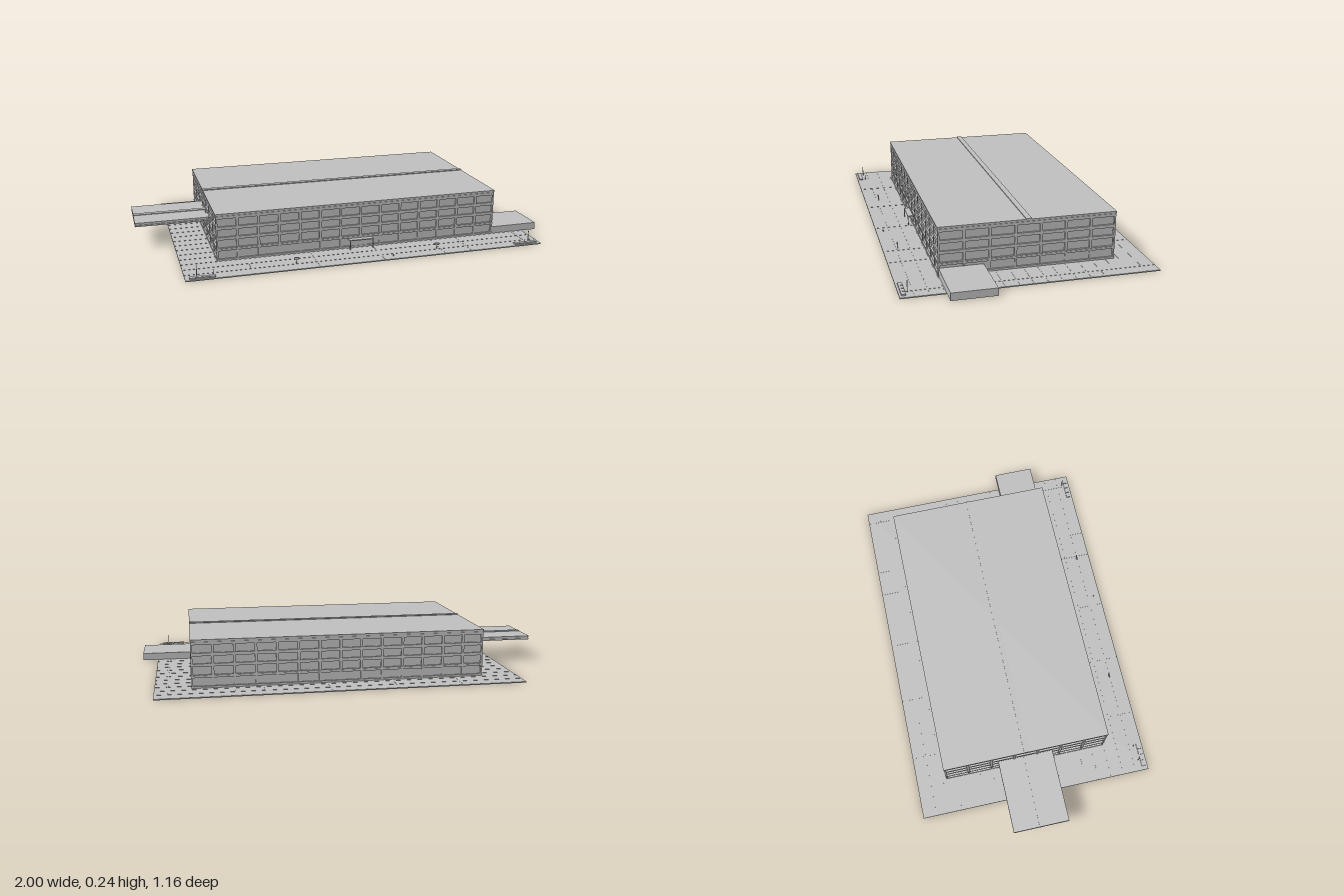
import * as THREE from 'three';

export function createModel() {
  const model = new THREE.Group();
  model.name = 'officeBuilding';
  const concrete = new THREE.MeshStandardMaterial({ color: 0xc0c0c0 });
  concrete.name = 'light grey concrete';

  // Box given by its extents on each axis
  function box(name, x0, x1, y0, y1, z0, z1, parent = model) {
    const mesh = new THREE.Mesh(new THREE.BoxGeometry(x1 - x0, y1 - y0, z1 - z0), concrete);
    mesh.position.set((x0 + x1) / 2, (y0 + y1) / 2, (z0 + z1) / 2);
    mesh.name = name;
    parent.add(mesh);
    return mesh;
  }
  function post(name, x, z, height, radius) {
    const mesh = new THREE.Mesh(new THREE.CylinderGeometry(radius, radius, height, 8), concrete);
    mesh.position.set(x, height / 2, z);
    mesh.name = name;
    model.add(mesh);
  }

  const L = -0.65, R = 0.755, B = -0.435, F = 0.385;
  const depth = 0.008;

  // Paved plaza with raised joint strips
  box('plaza', -0.82, 0.925, 0, 0.005, -0.585, 0.58);
  const joints = new THREE.Group();
  joints.name = 'pavingJoints';
  model.add(joints);
  for (let i = 1; i < 18; i++) {
    const z = -0.585 + i * 0.0647;
    box('crossJoint', -0.82, 0.925, 0.004, 0.006, z - 0.002, z + 0.002, joints);
  }
  for (const x of [-0.51, -0.2, 0.115, 0.42, 0.555, 0.865]) {
    box('longJoint', x - 0.003, x + 0.003, 0.004, 0.006, -0.585, 0.58, joints);
  }

  // Building core, whose faces are the recessed panes
  box('glazedCore', L + depth, R - depth, 0.005, 0.224, B + depth, F - depth);

  // Facade grid: horizontal bands, piers and thin window frames, facing local +z
  function facade(name, width, bays, x, z, angle) {
    const wall = new THREE.Group();
    wall.name = name;
    wall.position.set(x, 0, z);
    wall.rotation.y = angle;
    model.add(wall);
    const h = width / 2;
    const bands = [[0.005, 0.014], [0.054, 0.068], [0.107, 0.121], [0.157, 0.172], [0.21, 0.224]];
    for (const [y0, y1] of bands) box('floorBand', -h, h, y0, y1, -depth, 0, wall);
    const step = width / bays;
    for (let i = 0; i <= bays; i++) {
      const px = -h + i * step;
      box('pier', Math.max(-h, px - 0.006), Math.min(h, px + 0.006), 0.054, 0.224, -depth, -0.0005, wall);
      box('groundPier', Math.max(-h, px - 0.004), Math.min(h, px + 0.004), 0.005, 0.06, -depth, -0.003, wall);
    }
    // Projecting sill over the ground floor
    box('sill', -h, h, 0.06, 0.064, -depth, 0.002, wall);
  }
  const cx = (L + R) / 2, cz = (B + F) / 2;
  facade('frontFacade', R - L, 14, cx, F, 0);
  facade('backFacade', R - L, 14, cx, B, Math.PI);
  facade('leftFacade', F - B, 7, R, cz, Math.PI / 2);
  facade('rightFacade', F - B, 7, L, cz, -Math.PI / 2);

  // Roof slab with a shadow gap below and a service strip along it
  box('roofNeck', L + 0.003, R - 0.003, 0.22, 0.227, B + 0.003, F - 0.003);
  box('roofSlab', L - 0.002, R + 0.002, 0.226, 0.235, B - 0.002, F + 0.002);
  box('roofStrip', L - 0.002, R + 0.002, 0.234, 0.239, -0.037, -0.011);

  // Raised side bridge
  box('bridgeDeck', -1, L + 0.01, 0.115, 0.122, -0.165, 0.11);
  box('bridgeCore', -0.995, L + 0.01, 0.12, 0.128, -0.16, 0.105);
  box('bridgeRoof', -1, L + 0.01, 0.127, 0.134, -0.165, 0.11);
  box('bridgeStrip', -1, L + 0.01, 0.133, 0.137, -0.037, -0.011);

  // Low side annex
  box('annex', R - 0.01, 1, 0.004, 0.04, 0.178, F - 0.003);

  // Entrance canopy and supports
  box('entranceCanopy', -0.01, 0.11, 0.049, 0.054, F - 0.01, 0.412);
  for (const x of [-0.008, 0.108]) {
    box('canopySupport', x - 0.002, x + 0.002, 0.004, 0.05, 0.408, 0.412);
  }
  box('entranceDoors', 0.01, 0.09, 0.005, 0.049, F - 0.01, F - 0.002);

  // Planters at the front corners
  for (const x0 of [-0.8, 0.79]) {
    for (let i = 0; i < 4; i++) {
      const x = x0 + i * 0.03;
      box('planter', x, x + 0.027, 0.004, 0.012, 0.55, 0.57);
    }
  }

  // Street posts and bollards
  post('lampPost', -0.765, 0.54, 0.06, 0.0018);
  post('lampPost', 0.875, 0.54, 0.06, 0.0018);
  for (const x of [-0.3, 0.4]) {
    post('signPost', x, 0.508, 0.035, 0.0015);
    box('signPlate', x - 0.011, x + 0.011, 0.024, 0.035, 0.507, 0.511);
  }
  post('bollard', -0.69, 0.535, 0.03, 0.0018);
  post('bollard', 0.165, 0.545, 0.014, 0.0025);

  return model;
}
